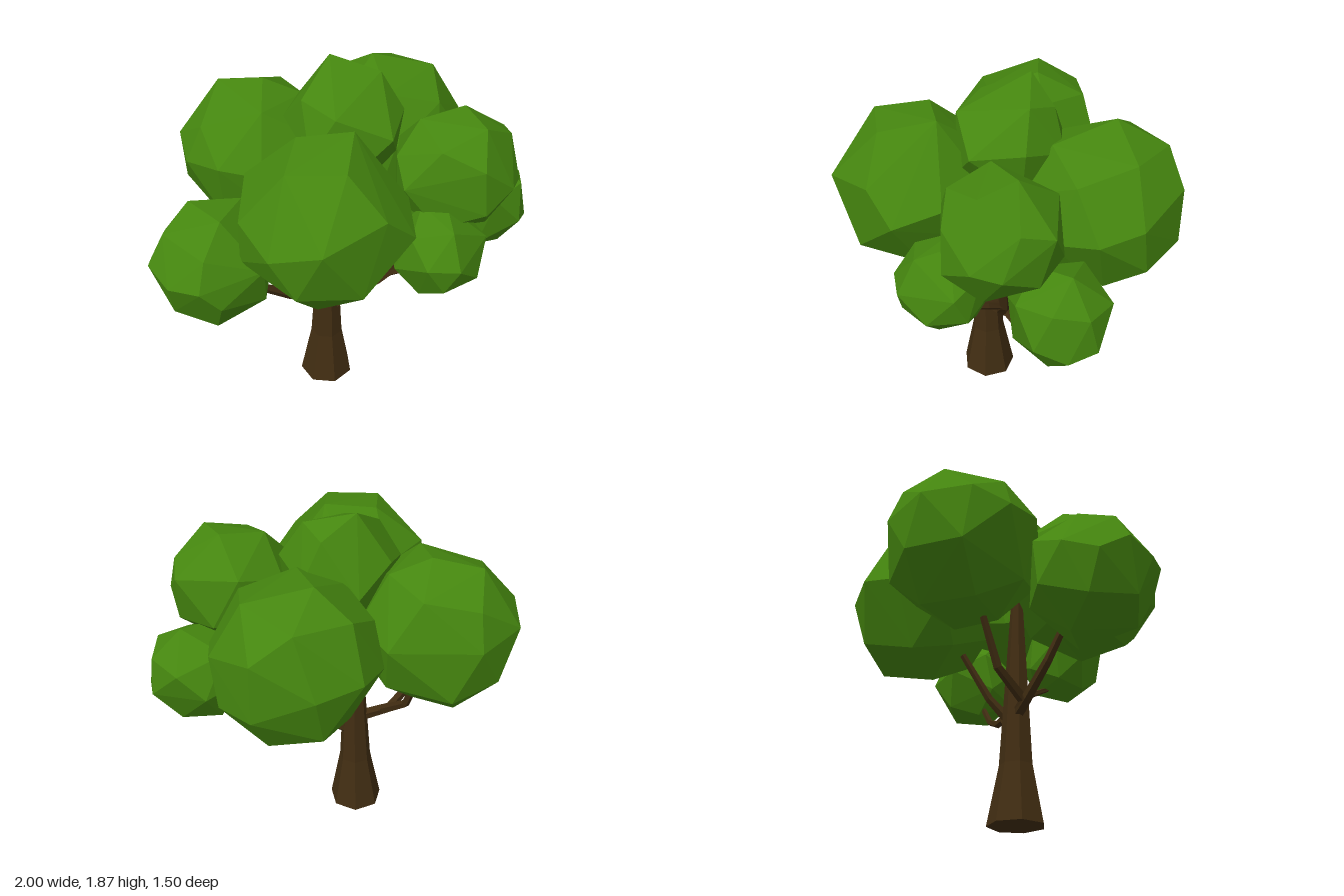
import * as THREE from 'three';
import { ConvexGeometry } from 'three/addons/geometries/ConvexGeometry.js';

const bark = new THREE.MeshStandardMaterial({ color: 0x412d12, flatShading: true });
bark.name = 'bark brown';
const leaf = new THREE.MeshStandardMaterial({ color: 0x45860f, flatShading: true });
leaf.name = 'leaf green';

// Small seeded random generator
function seeded(seed) {
  let s = seed * 7919 + 17;
  return () => (s = (s * 16807) % 2147483647) / 2147483647;
}

// Faceted limb through a few points, tapering evenly from r0 to r1
function limb(name, points, r0, r1, sides = 5) {
  const pts = points.map((p) => new THREE.Vector3(...p));
  const pos = [], index = [], last = pts.length - 1, base = pts.length * sides;
  pts.forEach((p, i) => {
    const t = pts[Math.min(i + 1, last)].clone().sub(pts[Math.max(i - 1, 0)]).normalize();
    const u = new THREE.Vector3(0.3, 0, 1).addScaledVector(t, -(0.3 * t.x + t.z)).normalize();
    const v = t.clone().cross(u), r = r0 + ((r1 - r0) * i) / last;
    for (let j = 0; j < sides; j++) {
      const a = (j / sides) * Math.PI * 2;
      const q = p.clone().addScaledVector(u, Math.cos(a) * r).addScaledVector(v, Math.sin(a) * r);
      pos.push(q.x, q.y, q.z);
    }
  });
  pos.push(...pts[0].toArray(), ...pts[last].toArray());
  for (let j = 0; j < sides; j++) {
    const k = (j + 1) % sides;
    for (let i = 0; i < last; i++) {
      const a = i * sides + j, b = i * sides + k;
      index.push(a, b, b + sides, a, b + sides, a + sides);
    }
    index.push(base, k, j, base + 1, last * sides + j, last * sides + k);
  }
  const g = new THREE.BufferGeometry();
  g.setAttribute('position', new THREE.Float32BufferAttribute(pos, 3));
  g.setIndex(index);
  const flat = g.toNonIndexed();
  flat.computeVertexNormals();
  const mesh = new THREE.Mesh(flat, bark);
  mesh.name = name;
  return mesh;
}

// Flared trunk: a faceted cylinder whose radius and lean follow the height
function trunk() {
  const height = 1.2;
  const g = new THREE.CylinderGeometry(1, 1, height, 7, 4).translate(0, height / 2, 0);
  const p = g.attributes.position;
  for (let i = 0; i < p.count; i++) {
    const y = p.getY(i);
    const r = 0.105 - 0.06 * y + 0.04 * Math.max(0, 1 - y / 0.3);
    p.setXYZ(i, p.getX(i) * r - 0.075 + 0.01 * y, y, p.getZ(i) * r + 0.01 + 0.015 * y);
  }
  g.computeVertexNormals();
  const mesh = new THREE.Mesh(g, bark);
  mesh.name = 'trunk';
  return mesh;
}

// Irregular faceted leaf clump: hull of points spread over a ball,
// where each peak takes the place of the ball points around it
function clump(name, center, radius, count, peaks, seed) {
  const rnd = seeded(seed), mid = new THREE.Vector3(...center);
  const turn = new THREE.Euler(rnd() * 6.28, rnd() * 6.28, rnd() * 6.28);
  const tips = peaks.map((p) => new THREE.Vector3(...p).sub(mid));
  const pts = [...tips];
  for (let i = 0; i < count; i++) {
    const h = 1 - (2 * (i + 0.5)) / count;
    const a = i * 2.39996 + (rnd() - 0.5) * 0.25;
    const w = Math.sqrt(1 - h * h);
    const p = new THREE.Vector3(w * Math.cos(a), h, w * Math.sin(a)).applyEuler(turn);
    p.multiplyScalar(radius * (0.98 + rnd() * 0.05));
    if (tips.every((t) => t.angleTo(p) > 0.42)) pts.push(p);
  }
  const mesh = new THREE.Mesh(new ConvexGeometry(pts), leaf);
  mesh.name = name;
  mesh.position.copy(mid);
  return mesh;
}

export function createModel() {
  const tree = new THREE.Group();
  tree.name = 'tree';

  tree.add(trunk());

  // Branches
  tree.add(
    limb('rightBranch', [[-0.05, 0.49, 0.03], [0.2, 0.64, 0.08], [0.33, 0.8, 0.15], [0.44, 1.15, 0.22]], 0.043, 0.026),
    limb('rightBackTwig', [[0.18, 0.64, 0.07], [0.21, 0.75, -0.02], [0.25, 1, -0.16]], 0.028, 0.017),
    limb('farRightTwig', [[0.2, 0.66, 0.08], [0.38, 0.68, 0.1], [0.52, 0.74, 0.11], [0.69, 0.93, 0.11]], 0.025, 0.014),
    limb('frontTwig', [[0.32, 0.79, 0.14], [0.35, 0.86, 0.26], [0.36, 0.95, 0.44]], 0.023, 0.014),
    limb('upperTwig', [[-0.06, 0.77, 0.02], [0.04, 0.87, 0.06], [0.12, 1.1, 0.08]], 0.028, 0.016),
    limb('leftBranch', [[-0.06, 0.56, 0.02], [-0.27, 0.585, -0.01], [-0.44, 0.71, 0.02], [-0.55, 0.9, 0.08]], 0.034, 0.018),
    limb('leftBackTwig', [[-0.23, 0.59, -0.02], [-0.28, 0.71, -0.17], [-0.32, 1, -0.28]], 0.028, 0.017),
  );

  // Leaf clumps: centre, radius, corner count, peaks
  const clumps = [
    ['frontLeftLeaves', [-0.21, 1.31, 0.36], 0.41, 28,
      [[-0.33, 1.4, 0.73], [0.14, 1.33, 0.64], [-0.6, 1.4, 0.36], [-0.03, 1.72, 0.3]]],
    ['backRightLeaves', [0.41, 1.3, -0.35], 0.41, 28,
      [[0.8, 1.38, -0.3], [0.47, 1.3, -0.73], [0.08, 1.3, -0.6], [0.35, 1.7, -0.45]]],
    ['backLeftLeaves', [-0.32, 1.3, -0.38], 0.4, 28,
      [[-0.33, 1.36, -0.77], [0.05, 1.35, -0.57], [-0.7, 1.36, -0.28]]],
    ['leftLeaves', [-0.68, 1.055, 0.13], 0.32, 22,
      [[-1, 1.12, 0.17], [-0.55, 0.74, 0.13], [-0.82, 1.1, 0.44], [-0.87, 1.1, -0.11]]],
    ['rightLeaves', [0.75, 1.055, 0.105], 0.255, 20, [[1, 1, 0.07], [0.82, 1.31, 0.1]]],
    ['frontLeaves', [0.34, 1.1, 0.48], 0.235, 20, [[0.34, 1.13, 0.72], [0.38, 1.32, 0.46]]],
    ['frontRightLeaves', [0.49, 1.41, 0.28], 0.31, 22,
      [[0.8, 1.53, 0.18], [0.68, 1.4, 0.53], [0.18, 1.42, 0.4]]],
    ['topLeaves', [0.05, 1.55, -0.04], 0.3, 18,
      [[0.02, 1.87, -0.18], [0.23, 1.81, -0.04], [-0.23, 1.6, -0.15], [0.18, 1.6, 0.25]]],
  ];
  clumps.forEach((c, i) => tree.add(clump(...c, i + 3)));

  return tree;
}
